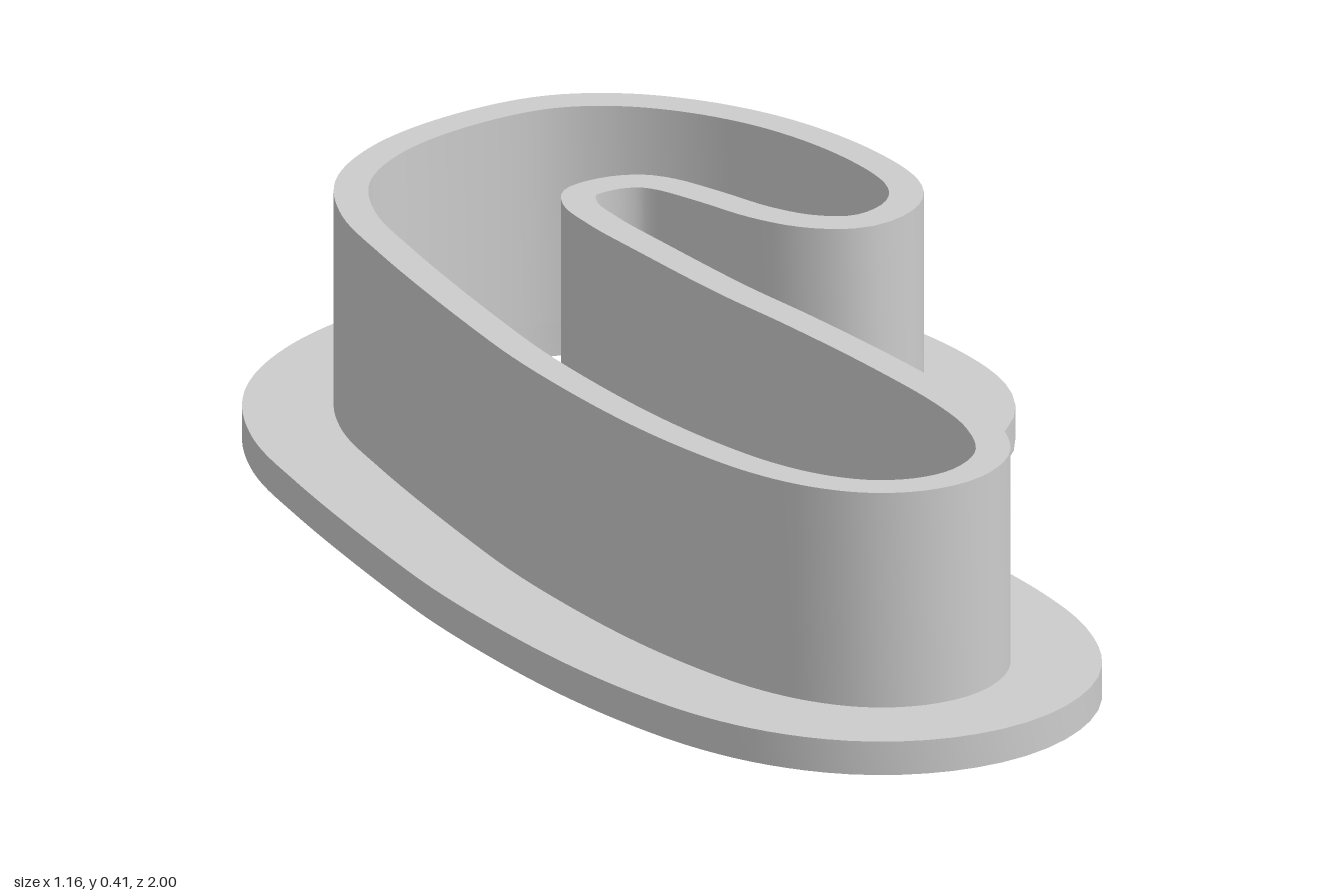
import * as THREE from 'three';
import { toCreasedNormals } from 'three/addons/utils/BufferGeometryUtils.js';

// Cavity outline as [x, z] pairs, running round the cane-shaped opening
const OUTLINE = [
  [0, -.808], [.10, -.787], [.195, -.728], [.285, -.63], [.355, -.495], [.387, -.36],
  [.377, -.30], [.345, -.26], [.295, -.24], [.24, -.262], [.19, -.315], [.14, -.40],
  [.09, -.475], [.05, -.506], [-.01, -.515], [-.08, -.49], [-.105, -.43], [-.095, -.34],
  [-.063, -.215], [-.005, -.01], [.05, .15], [.11, .345], [.155, .53], [.165, .64],
  [.145, .735], [.09, .79], [.027, .806], [-.04, .792], [-.10, .75], [-.155, .682],
  [-.21, .575], [-.27, .41], [-.33, .16], [-.355, -.02], [-.383, -.34], [-.385, -.5],
  [-.35, -.62], [-.27, -.71], [-.15, -.775],
];
const WALL = 0.053, FLANGE = 0.193, FLANGE_TOP = 0.055, WALL_TOP = 0.408;

// Offset a closed loop outward, dropping points that fall too close to it
function offsetLoop(loop, d) {
  const n = loop.length;
  return loop
    .map((p, i) => {
      const t = loop[(i + 1) % n].clone().sub(loop[(i + n - 1) % n]).normalize();
      return new THREE.Vector2(p.x - t.y * d, p.y + t.x * d);
    })
    .filter((q) => loop.every((p) => p.distanceTo(q) > d - 0.0015));
}

// Ring between two loops, raised from y0 to y1; the hole runs the opposite way round
function ring(name, outer, inner, y0, y1, material) {
  const shape = new THREE.Shape(outer);
  shape.holes.push(new THREE.Path([...inner].reverse()));
  const geo = new THREE.ExtrudeGeometry(shape, { depth: y1 - y0, bevelEnabled: false });
  geo.rotateX(-Math.PI / 2).translate(0, y0, 0);
  const mesh = new THREE.Mesh(toCreasedNormals(geo, 0.6), material);
  mesh.name = name;
  return mesh;
}

export function createModel() {
  const grey = new THREE.MeshStandardMaterial({ color: 0xcccccc });
  grey.name = 'light grey plastic';

  const curve = new THREE.CatmullRomCurve3(
    OUTLINE.map(([x, z]) => new THREE.Vector3(x, -z, 0)), true, 'centripetal');
  const cavity = curve.getSpacedPoints(260).slice(0, -1).map((p) => new THREE.Vector2(p.x, p.y));

  const group = new THREE.Group();
  group.name = 'caneCookieCutter';
  // Wide flat rim at the bottom and the thin cutting wall above it
  group.add(ring('baseFlange', offsetLoop(cavity, FLANGE), cavity, 0, FLANGE_TOP, grey));
  group.add(ring('cuttingWall', offsetLoop(cavity, WALL), cavity, FLANGE_TOP, WALL_TOP, grey));
  return group;
}
